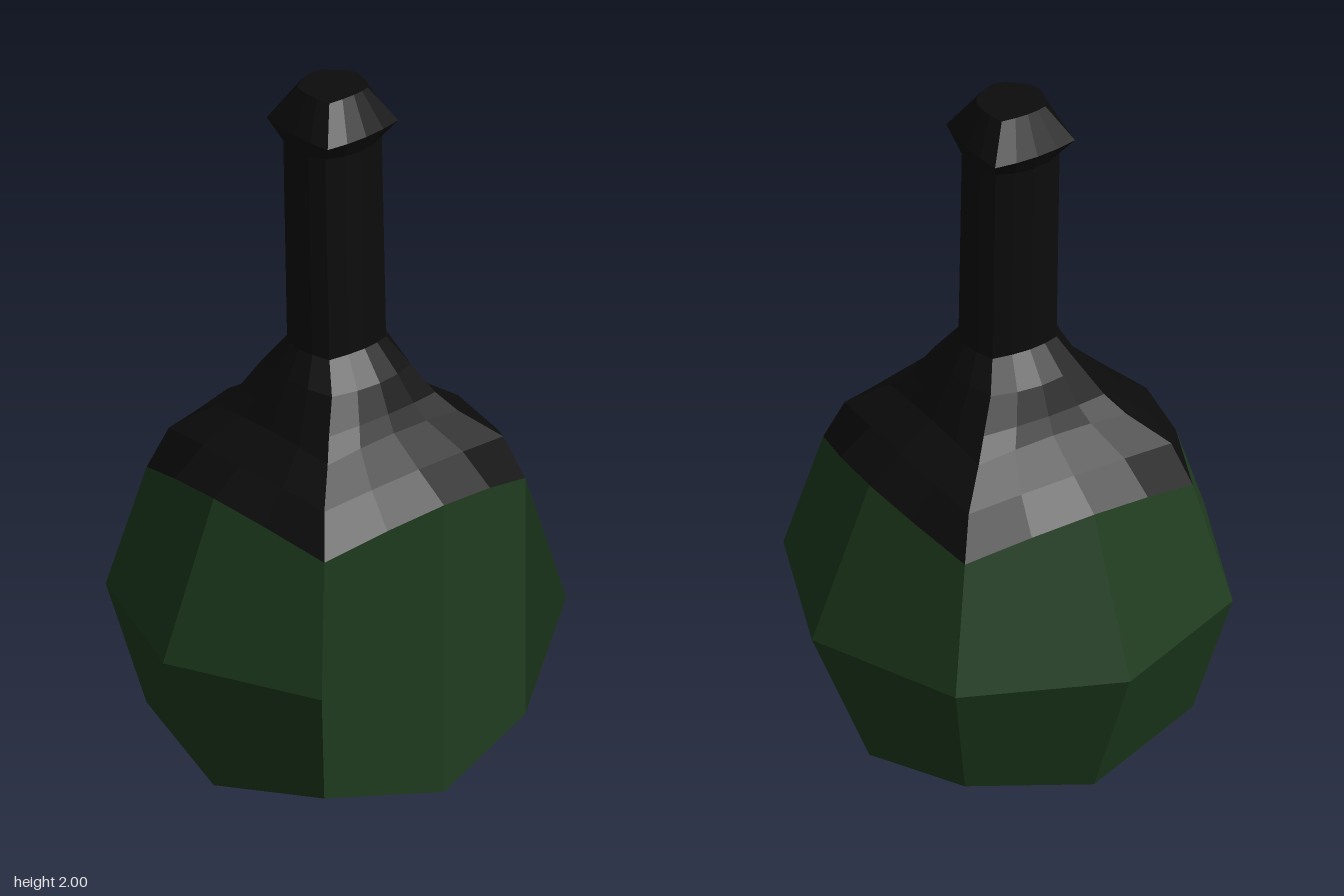
import * as THREE from 'three';

// Collects flat polygons; each is fanned and faces the given outward direction
class Facets {
  constructor() { this.pos = []; this.nor = []; }
  add(pts, out) {
    const n = new THREE.Vector3(), a = new THREE.Vector3(), b = new THREE.Vector3();
    for (let i = 1; i < pts.length - 1; i++) {
      n.add(a.subVectors(pts[i], pts[0]).cross(b.subVectors(pts[i + 1], pts[0])));
    }
    const flip = n.dot(out) < 0;
    n.normalize().multiplyScalar(flip ? -1 : 1);
    for (let i = 1; i < pts.length - 1; i++) {
      const tri = flip ? [pts[0], pts[i + 1], pts[i]] : [pts[0], pts[i], pts[i + 1]];
      for (const p of tri) {
        this.pos.push(p.x, p.y, p.z);
        this.nor.push(n.x, n.y, n.z);
      }
    }
  }
  mesh(name, color) {
    const g = new THREE.BufferGeometry();
    g.setAttribute('position', new THREE.Float32BufferAttribute(this.pos, 3));
    g.setAttribute('normal', new THREE.Float32BufferAttribute(this.nor, 3));
    const m = new THREE.Mesh(g, new THREE.MeshStandardMaterial({ color, side: THREE.DoubleSide }));
    m.name = name;
    return m;
  }
}

const CENTRE = new THREE.Vector3(0.083, 0.573, 0);

// Vertex of a cube-like sphere; i, j, k are -1, 0 or 1
function ball(i, j, k) {
  const r = [0, 0.573, 0.405, 0.333][Math.abs(i) + Math.abs(j) + Math.abs(k)];
  return new THREE.Vector3(i, j, k).multiplyScalar(r).add(CENTRE);
}

// Round body, with a flattened panel on the +x side and the top left to the shoulder
function makeBody() {
  const f = new Facets();
  const add = (pts) => {
    const mid = new THREE.Vector3();
    pts.forEach((p) => mid.add(p));
    f.add(pts, mid.divideScalar(pts.length).sub(CENTRE));
  };
  // Extra point on the curved upper rim
  const rim = (x, z) => new THREE.Vector3(x, 0.385, z).add(CENTRE);

  for (const u of [-1, 1]) {
    for (const v of [-1, 1]) {
      // Underside
      add([ball(0, -1, 0), ball(u, -1, 0), ball(u, -1, v), ball(0, -1, v)]);
      // Front and back
      for (const s of [-1, 1]) {
        const pts = [ball(0, 0, s), ball(u, 0, s), ball(u, v, s)];
        if (v > 0) pts.push(rim(0.17 * u, 0.385 * s));
        add([...pts, ball(0, v, s)]);
      }
      // Rounded side
      const pts = [ball(-1, 0, 0), ball(-1, 0, u), ball(-1, v, u)];
      if (v > 0) pts.push(rim(-0.385, 0.17 * u));
      add([...pts, ball(-1, v, 0)]);
    }
    // Flattened side panel and its raised edge flange
    add([ball(1, -1, 0), ball(1, -1, u), ball(1, 1, u), rim(0.385, 0.17 * u), ball(1, 1, 0)]);
    f.add([ball(1, 1, u), ball(1, 0, u), ball(1, -1, u)], new THREE.Vector3(1, 0, -u));
  }
  return f.mesh('body', 0x1f3d1f);
}

// Sixteen-sided squarish ring: half widths, corner squareness, heights at mids and corners
function ring([cx, hx, hz, corner, yMid, yCorner]) {
  const pts = [];
  const q = 1 - (1 - corner) * 0.28;
  const y = yMid + (yCorner - yMid) * 0.28;
  for (let s = 0; s < 4; s++) {
    const quarter = [
      [1, 0, yMid], [q, corner * 0.51, y],
      [corner, corner, yCorner], [corner * 0.51, q, y],
    ];
    for (const [a, b, h] of quarter) {
      const [x, z] = [[a, b], [-b, a], [-a, -b], [b, -a]][s];
      pts.push(new THREE.Vector3(cx + x * hx, h, z * hz));
    }
  }
  return pts;
}

function loft(name, color, sections, closed) {
  const f = new Facets();
  const rings = sections.map(ring);
  for (let r = 0; r < rings.length - 1; r++) {
    const [lo, hi] = [rings[r], rings[r + 1]];
    for (let i = 0; i < 16; i++) {
      const j = (i + 1) % 16;
      const out = lo[i].clone().add(lo[j]).multiplyScalar(0.5);
      out.x -= sections[r][0];
      out.y = 0;
      f.add([lo[i], hi[i], hi[j], lo[j]], out);
    }
  }
  if (closed) f.add(rings[rings.length - 1], new THREE.Vector3(0, 1, 0));
  return f.mesh(name, color);
}

export function createModel() {
  const group = new THREE.Group();
  group.name = 'bottle';
  const dark = 0x0c0c0c;
  const neckBase = [0.085, 0.106, 0.125, 0.75, 1.3, 1.29];
  const neckTop = [0.07, 0.105, 0.125, 0.75, 1.85, 1.85];

  group.add(makeBody());
  group.add(loft('shoulder', dark, [
    [0.083, 0.405, 0.405, 0.822, 0.978, 0.906],
    [0.083, 0.31, 0.315, 0.94, 1.04, 1.02],
    [0.085, 0.215, 0.22, 0.98, 1.105, 1.09],
    [0.085, 0.194, 0.2, 0.88, 1.15, 1.14],
    [0.085, 0.163, 0.163, 0.8, 1.225, 1.22],
    neckBase,
  ]));
  group.add(loft('neck', dark, [neckBase, neckTop]));
  group.add(loft('lip', dark, [
    neckTop,
    [0.07, 0.127, 0.13, 0.9, 1.9, 1.9],
    [0.07, 0.08, 0.085, 0.75, 2, 1.99],
  ], true));
  return group;
}
